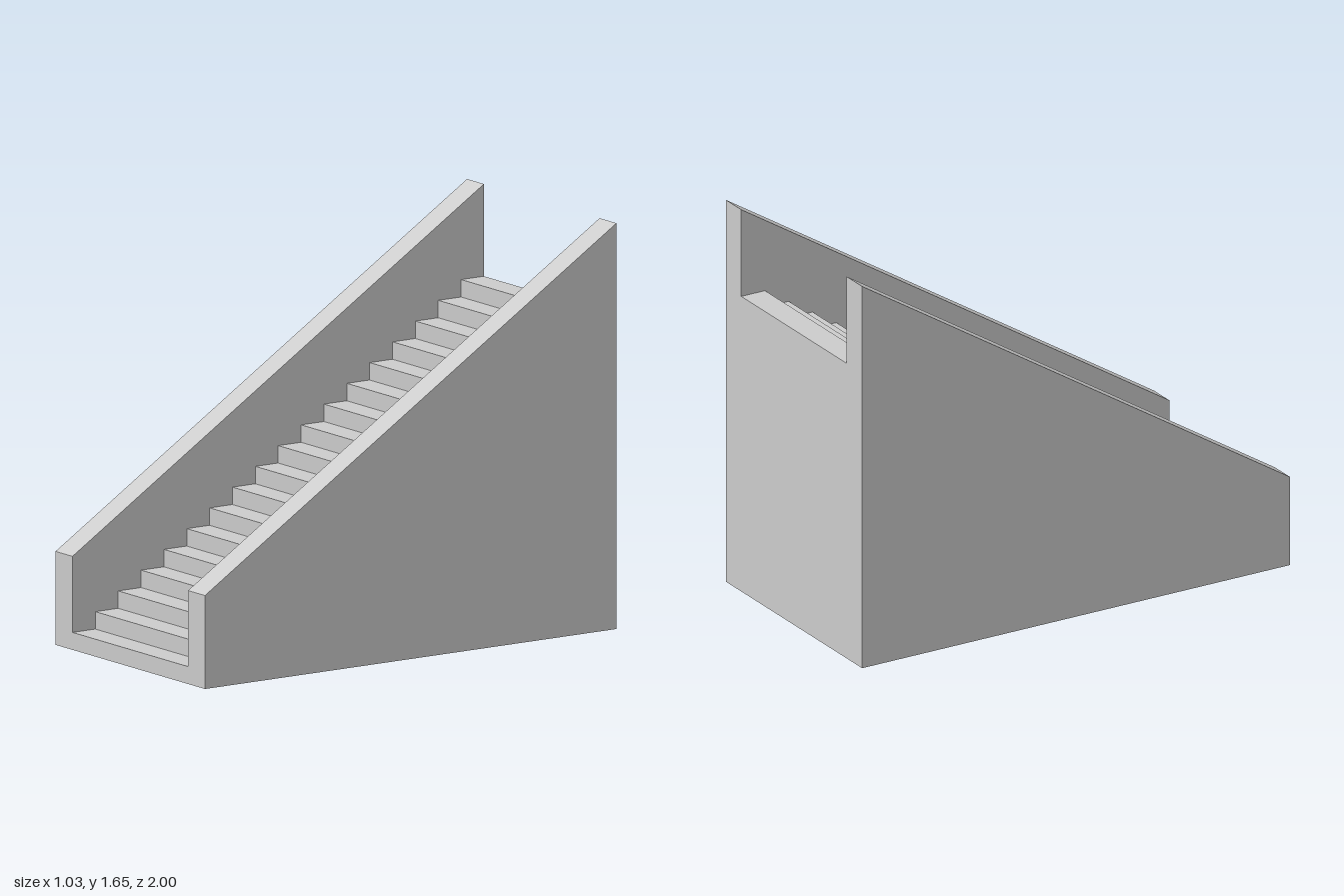
import * as THREE from 'three';

const STEPS = 18;
const STAIR_WIDTH = 0.8, WALL_WIDTH = 0.117;
const STAIR_HEIGHT = 1.275, LENGTH = 2;

const material = new THREE.MeshStandardMaterial({ color: 0xcccccc, flatShading: true });

// Extrudes a side profile of [z, y] points across x, centred on x.
function sideProfile(name, points, width, x) {
  const shape = new THREE.Shape(points.map(([z, y]) => new THREE.Vector2(z, y)));
  const geometry = new THREE.ExtrudeGeometry(shape, { depth: width, bevelEnabled: false });
  geometry.translate(0, 0, -width / 2).rotateY(-Math.PI / 2);
  const mesh = new THREE.Mesh(geometry, material);
  mesh.name = name;
  mesh.position.x = x;
  return mesh;
}

export function createModel() {
  const group = new THREE.Group();
  group.name = 'staircase';

  // Solid flight of steps, rising towards the back
  const rise = STAIR_HEIGHT / STEPS, run = LENGTH / STEPS;
  const profile = [[-1, 0], [1, 0]];
  for (let i = 0; i < STEPS; i++) {
    const z = 1 - i * run, y = (i + 1) * rise;
    profile.push([z, y], [z - run, y]);
  }
  group.add(sideProfile('steps', profile, STAIR_WIDTH, 0));

  // Sloping side walls
  const wall = [[-1, 0], [1, 0], [1, 0.38], [-1, 1.65]];
  for (const side of [-1, 1]) {
    const x = side * (STAIR_WIDTH + WALL_WIDTH) / 2;
    group.add(sideProfile(side > 0 ? 'leftWall' : 'rightWall', wall, WALL_WIDTH, x));
  }
  return group;
}
